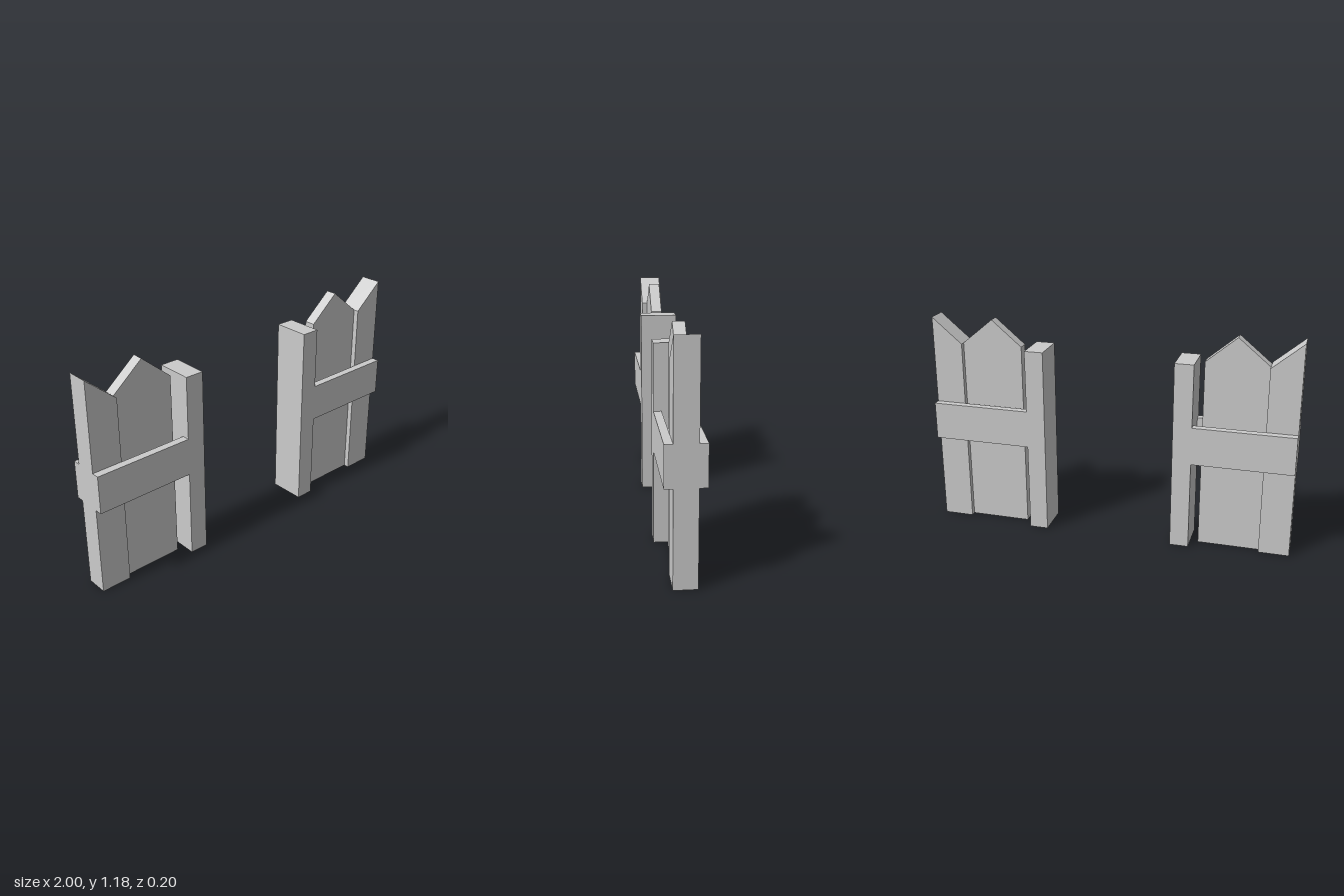
import * as THREE from 'three';

const material = new THREE.MeshStandardMaterial({ color: 0xcccccc, flatShading: true });

// Flat outline in x/y, extruded to a thickness centred on z
function board(name, points, depth, z = 0) {
  const shape = new THREE.Shape(points.map(([x, y]) => new THREE.Vector2(x, y)));
  const geometry = new THREE.ExtrudeGeometry(shape, { depth, bevelEnabled: false });
  geometry.translate(0, 0, z - depth / 2);
  const mesh = new THREE.Mesh(geometry, material);
  mesh.name = name;
  return mesh;
}

// One end of the fence; side is +1 (left) or -1 (right)
function fenceEnd(side) {
  const group = new THREE.Group();
  group.name = side > 0 ? 'leftFenceEnd' : 'rightFenceEnd';
  const outline = (pts) => {
    const p = pts.map(([x, y]) => [x * side, y]);
    return side > 0 ? p : p.reverse();
  };
  const rect = (x0, y0, x1, y1) => outline([[x0, y0], [x1, y0], [x1, y1], [x0, y1]]);

  // Square gate post
  group.add(board('post', rect(0.355, 0, 0.457, 1.04), 0.2));

  // Thin pointed picket
  group.add(board('picket', outline([
    [0.5, 0], [0.835, 0], [0.835, 1.04], [0.665, 1.18], [0.5, 1.04],
  ]), 0.06));

  // Thicker half picket at the outer edge
  group.add(board('halfPicket', outline([
    [0.835, 0], [1, 0], [1, 1.18], [0.835, 1.04],
  ]), 0.118));

  // Rails on both faces, flush with the post
  for (const face of [1, -1]) {
    group.add(board(face > 0 ? 'frontRail' : 'backRail',
      rect(0.457, 0.49, 1, 0.697), 0.041, face * 0.0795));
  }
  return group;
}

export function createModel() {
  const model = new THREE.Group();
  model.name = 'fenceGateway';
  model.add(fenceEnd(1), fenceEnd(-1));
  return model;
}
